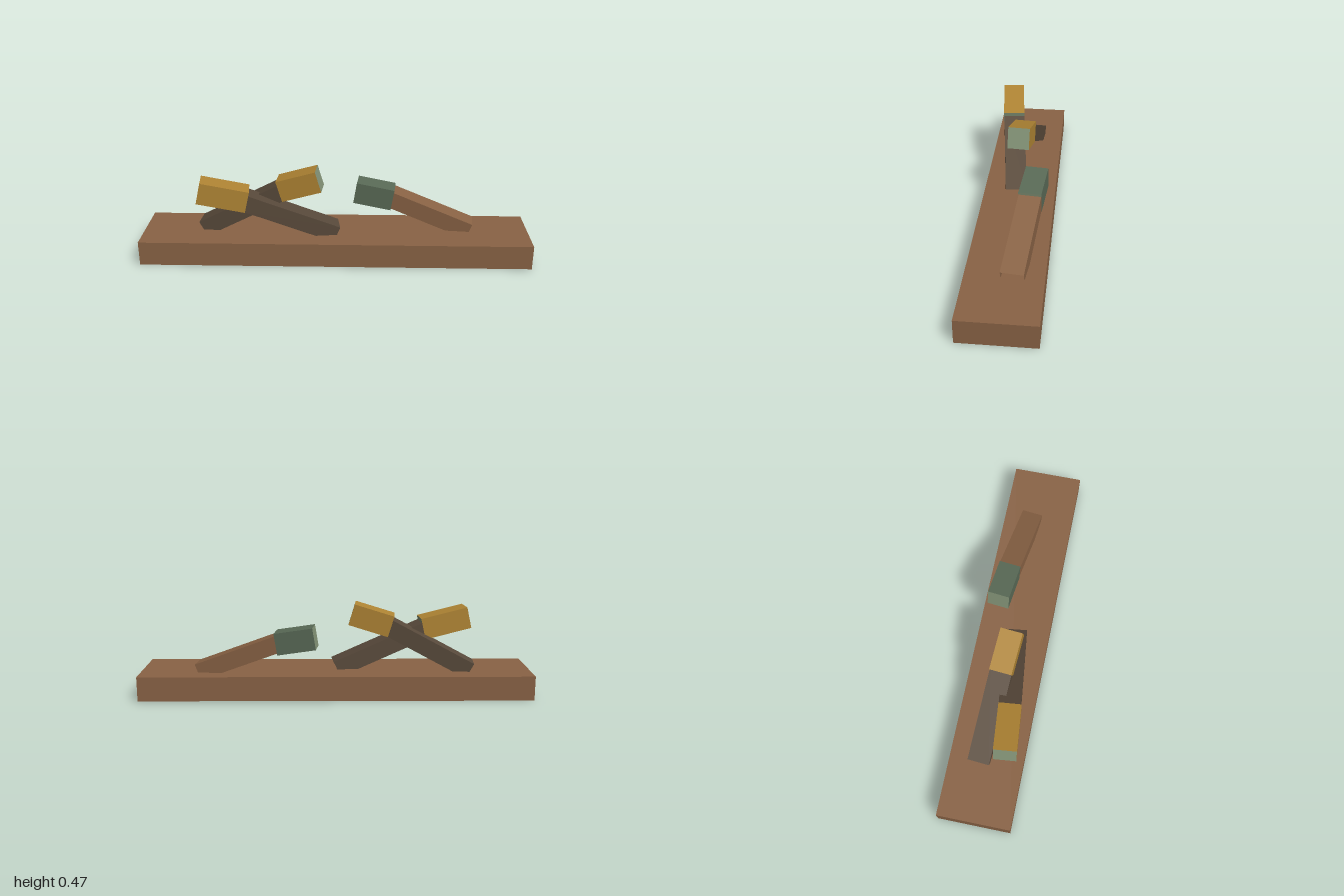
import * as THREE from 'three';

const paint = (name, color, side = THREE.FrontSide) => {
  const m = new THREE.MeshStandardMaterial({ color, side });
  m.name = name;
  return m;
};

// Box with one face left out (0:+x 1:-x 2:+y 3:-y 4:+z 5:-z)
function openBox(w, h, d, missing) {
  const g = new THREE.BoxGeometry(w, h, d);
  const index = Array.from(g.index.array);
  index.splice(missing * 6, 6);
  g.setIndex(index);
  g.clearGroups();
  return g;
}

// Turn a mesh so that its local x axis runs from a to b
function aim(mesh, a, b) {
  const d = new THREE.Vector3(...b).sub(new THREE.Vector3(...a));
  mesh.position.set(...a);
  mesh.rotation.set(0, Math.atan2(-d.z, d.x), Math.asin(d.y / d.length()));
  return mesh;
}

const span = (a, b) => new THREE.Vector3(...a).distanceTo(new THREE.Vector3(...b));

export function createModel() {
  const model = new THREE.Group();
  model.name = 'leverPanel';

  const wood = paint('wood brown', 0x8a6345, THREE.DoubleSide);
  const darkWood = paint('dark wood', 0x594a3b, THREE.DoubleSide);
  const gold = paint('gold', 0xb08534);
  const paleGreen = paint('pale green', 0x87977a);
  const deepGreen = paint('deep green', 0x5a6b57);

  // Base: a plank hollow from below
  const base = new THREE.Mesh(openBox(2, 0.125, 0.374, 3), wood);
  base.name = 'base';
  base.position.y = 0.0625;
  model.add(base);

  // Each lever: shaft along its upper centre line (foot to tip), head along its axis
  const levers = [
    { name: 'frontLever', shaft: darkWood, head: gold,
      foot: [0.018, 0.166, 0.013], tip: [-0.455, 0.364, 0.073],
      headFrom: [-0.449, 0.3255, 0.073], headTo: [-0.69, 0.3815, 0.098] },
    { name: 'crossedLever', shaft: darkWood, head: gold,
      foot: [-0.71, 0.166, -0.036], tip: [-0.28, 0.394, -0.004],
      headFrom: [-0.285, 0.354, -0.004], headTo: [-0.083, 0.4145, 0.012] },
    { name: 'singleLever', shaft: wood, head: deepGreen,
      foot: [0.716, 0.166, -0.037], tip: [0.305, 0.322, -0.082],
      headFrom: [0.3, 0.2795, -0.082], headTo: [0.105, 0.3115, -0.102] },
  ];

  for (const l of levers) {
    const lever = new THREE.Group();
    lever.name = l.name;

    // Shaft, open at the foot where it enters the base
    const length = span(l.foot, l.tip);
    const shaft = new THREE.Mesh(
      openBox(length, 0.087, 0.111, 1).translate(length / 2, -0.0435, 0), l.shaft);
    shaft.name = 'shaft';
    lever.add(aim(shaft, l.foot, l.tip));

    // Head with pale caps at both ends
    const reach = span(l.headFrom, l.headTo);
    const head = new THREE.Mesh(
      new THREE.BoxGeometry(reach, 0.112, 0.113).translate(reach / 2, 0, 0),
      [paleGreen, paleGreen, l.head, l.head, l.head, l.head]);
    head.name = 'head';
    lever.add(aim(head, l.headFrom, l.headTo));

    model.add(lever);
  }
  return model;
}
